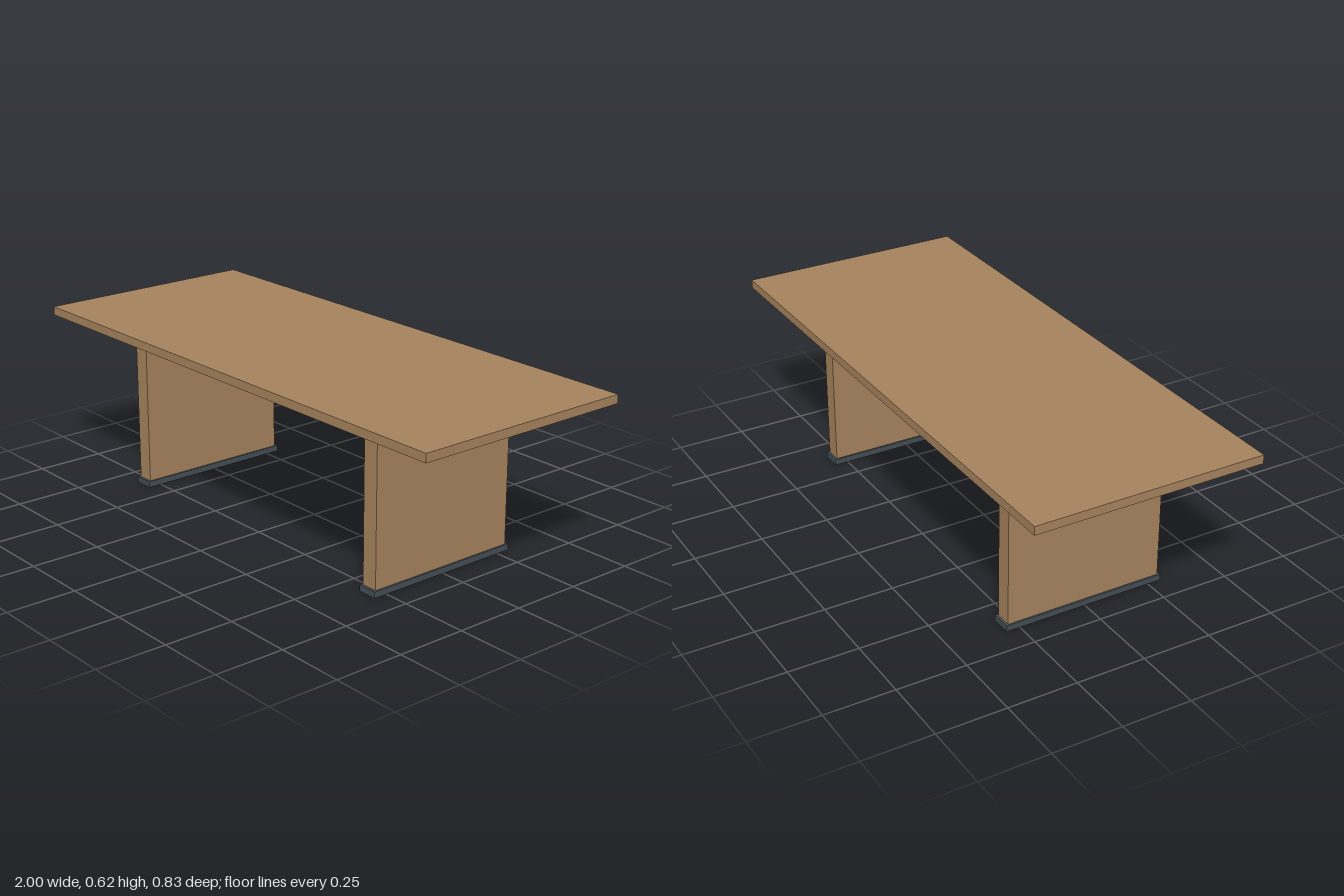
import * as THREE from 'three';

export function createModel() {
  const model = new THREE.Group();
  model.name = 'table';

  const wood = new THREE.MeshStandardMaterial({ color: 0xa5825c });
  wood.name = 'oak wood';
  const metal = new THREE.MeshStandardMaterial({ color: 0x434d54 });
  metal.name = 'dark metal';

  // Box given by its size, centre x and bottom height
  const addBox = (name, material, [w, h, d], x, bottom) => {
    const mesh = new THREE.Mesh(new THREE.BoxGeometry(w, h, d), material);
    mesh.name = name;
    mesh.position.set(x, bottom + h / 2, 0);
    model.add(mesh);
  };

  // Top board
  addBox('tableTop', wood, [2, 0.031, 0.83], 0, 0.587);

  // Panel legs on metal foot plates
  for (const [side, sign] of [['left', 1], ['right', -1]]) {
    addBox(`${side}Leg`, wood, [0.06, 0.565, 0.582], sign * 0.621, 0.022);
    addBox(`${side}Foot`, metal, [0.073, 0.022, 0.6], sign * 0.621, 0);
  }

  // Stretcher beam under the top, between the legs
  addBox('stretcher', metal, [1.182, 0.038, 0.05], 0, 0.549);

  return model;
}
